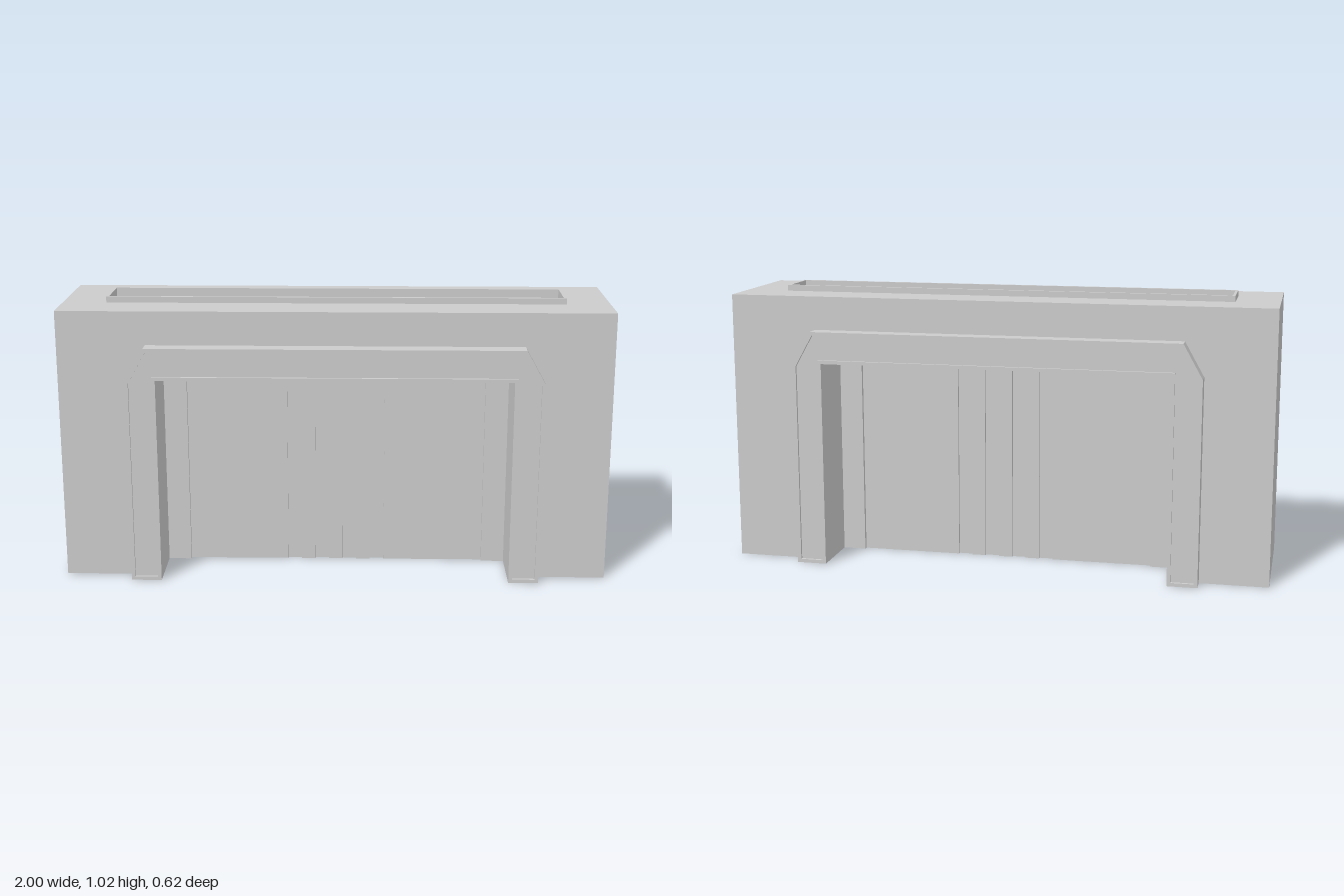
import * as THREE from 'three';

const material = new THREE.MeshStandardMaterial({ color: 0xcccccc, flatShading: true });

const path = (points, Type = THREE.Shape) => new Type(points.map(([x, y]) => new THREE.Vector2(x, y)));

const rect = (x, z) => [[-x, -z], [x, -z], [x, z], [-x, z]];

// Mirrors the right half of an outline (listed from its start round to x = 0) to the left
const mirrored = (half) => [...half, ...half.map(([x, y]) => [-x, y]).reverse()];

function part(name, geometry) {
  const mesh = new THREE.Mesh(geometry, material);
  mesh.name = name;
  return mesh;
}

function extrude(outline, depth, hole) {
  const shape = path(outline);
  if (hole) shape.holes.push(path(hole, THREE.Path));
  return new THREE.ExtrudeGeometry(shape, { depth, bevelEnabled: false });
}

// Extrudes a plan outline upwards from y0 to y1
function slab(outline, y0, y1, hole) {
  return extrude(outline, y1 - y0, hole).rotateX(-Math.PI / 2).translate(0, y0, 0);
}

export function createModel() {
  const group = new THREE.Group();
  const ledgeY = 0.975, trenchY = 0.955;

  // Wall block with the doorway cut through it
  const wall = mirrored([[0.64, 0], [1, 0], [1, trenchY]]);
  const opening = [[-0.64, 0.76], [0.64, 0.76], [0.64, 0], [1, 0], [1, trenchY],
    [-1, trenchY], [-1, 0], [-0.64, 0]];
  group.add(part('wall', extrude(wall.length ? opening : wall, 0.5).translate(0, 0, -0.25)));

  // Upper wall layers holding the stepped slot
  group.add(part('slotFloorLayer', slab(rect(1, 0.25), trenchY, ledgeY, rect(0.62, 0.08))));
  group.add(part('wallTop', slab(rect(1, 0.25), ledgeY, 1, rect(0.83, 0.08))));
  group.add(part('slotRim', slab(rect(0.84, 0.092), 1, 1.022, rect(0.83, 0.08))));

  // Door panel: plan with thicker jambs and four shallow grooves per face
  const doorZ = 0.076, grooveZ = 0.066, jambZ = 0.09;
  const face = [[-0.64, jambZ], [-0.555, jambZ], [-0.555, doorZ]];
  for (const x of [-0.156, -0.052, 0.052, 0.156]) {
    face.push([x - 0.026, doorZ], [x - 0.026, grooveZ], [x + 0.026, grooveZ], [x + 0.026, doorZ]);
  }
  face.push([0.555, doorZ], [0.555, jambZ], [0.64, jambZ]);
  const plan = [...face, ...face.map(([x, z]) => [-x, -z])];
  group.add(part('door', slab(plan, 0, 0.76)));

  // Chamfered door surrounds with a thin raised lip, front and back
  const outer = mirrored([[0.64, 0], [0.75, 0], [0.75, 0.752], [0.68, 0.877]]);
  const inner = [[-0.64, 0.76], [0.64, 0.76]];
  const surround = [...inner, ...outer];
  const panelHalf = [[0.653, 0.013], [0.737, 0.013], [0.737, 0.749], [0.672, 0.864]];
  const panel = [[-0.653, 0.773], [0.653, 0.773], ...mirrored(panelHalf)];
  for (const [name, turn] of [['frontSurround', 0], ['backSurround', Math.PI]]) {
    const side = new THREE.Group();
    side.name = name;
    side.add(part('surroundBase', extrude(surround, 0.05).translate(0, 0, 0.25)));
    side.add(part('surroundLip', extrude(surround, 0.01, panel).translate(0, 0, 0.3)));
    side.rotation.y = turn;
    group.add(side);
  }
  return group;
}
